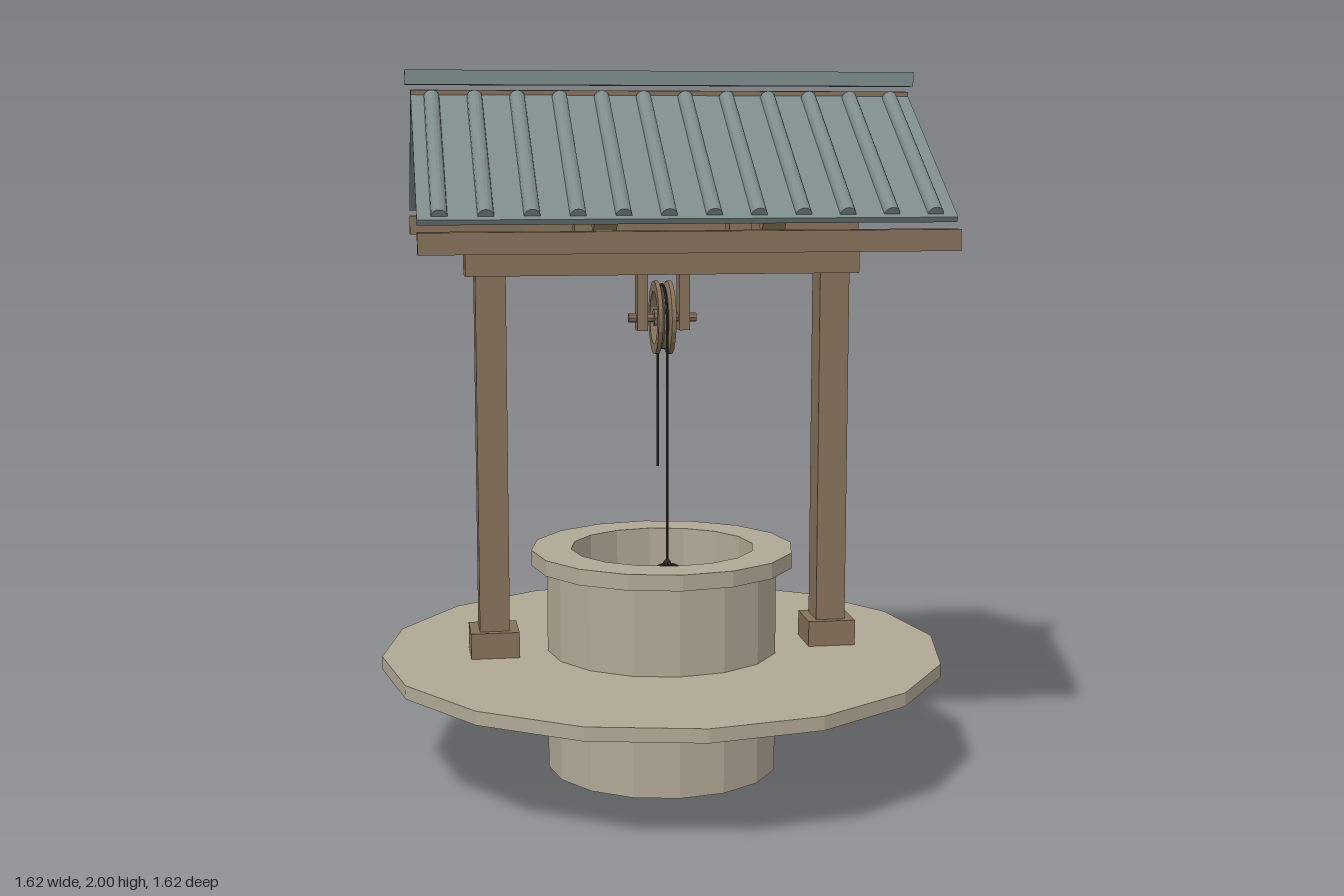
import * as THREE from 'three';

const mat = (name, color) => {
  const m = new THREE.MeshStandardMaterial({ color, flatShading: true });
  m.name = name;
  return m;
};

export function createModel() {
  const stone = mat('stone', 0xb0a794);
  const wood = mat('wood', 0x857159);
  const roofing = mat('roofing', 0x7d8b8b);
  const ropeMat = mat('rope', 0x2f2922);
  const bucketWood = mat('bucketWood', 0x7d634e);

  const well = new THREE.Group();
  well.name = 'well';

  const add = (parent, name, geo, material, x = 0, y = 0, z = 0) => {
    const m = new THREE.Mesh(geo, material);
    m.name = name;
    m.position.set(x, y, z);
    parent.add(m);
    return m;
  };
  // Box centred on x and z, spanning y0 to y1
  const box = (parent, name, material, w, y0, y1, d, x = 0, z = 0) =>
    add(parent, name, new THREE.BoxGeometry(w, y1 - y0, d), material, x, (y0 + y1) / 2, z);
  const lathe = (pts, sides) =>
    new THREE.LatheGeometry(pts.map(([r, y]) => new THREE.Vector2(r, y)), sides);

  // Hollow stone shaft with an overhanging rim, and the ground slab as a ring around it
  add(well, 'shaft', lathe([[0.265, 0], [0.335, 0], [0.335, 0.6], [0.38, 0.6], [0.38, 0.645],
    [0.265, 0.645], [0.265, 0]], 16), stone);
  add(well, 'slab', lathe([[0.33, 0.31], [0.81, 0.31], [0.81, 0.348], [0.33, 0.348]], 16), stone);

  // Frame: footings, posts, crossbeam, king posts and pulley brackets
  for (const s of [-1, 1]) {
    box(well, 'footing', wood, 0.138, 0.345, 0.422, 0.142, s * 0.49);
    box(well, 'post', wood, 0.085, 0.42, 1.44, 0.1, s * 0.49);
    box(well, 'kingPost', wood, 0.064, 1.5, 1.9, 0.064, s * 0.22);
    box(well, 'pulleyBracket', wood, 0.03, 1.275, 1.44, 0.055, s * 0.06);
  }
  box(well, 'crossbeam', wood, 1.12, 1.435, 1.512, 0.11);
  box(well, 'ridgeBeam', wood, 1.4, 1.88, 1.945, 0.064);
  box(well, 'ridgeCap', roofing, 1.43, 1.96, 2.0, 0.062);

  // Roof slopes: sheet with half-round ribs, rafters below and an eave beam
  const pitch = 0.566, ribs = 12, ribR = 0.021;
  const ribGeo = new THREE.CylinderGeometry(ribR, ribR, 0.575, 8, 1, false, Math.PI / 2, Math.PI);
  ribGeo.rotateX(Math.PI / 2);
  for (const s of [-1, 1]) {
    const slope = new THREE.Group();
    slope.name = s > 0 ? 'frontRoofSlope' : 'backRoofSlope';
    slope.position.set(0, 1.772, s * 0.269);
    slope.rotation.x = s * pitch;
    add(slope, 'roofSheet', new THREE.BoxGeometry(1.4, 0.016, 0.625), roofing);
    for (let i = 0; i < ribs; i++)
      add(slope, 'roofRib', ribGeo, roofing, (i - (ribs - 1) / 2) * 0.117, 0.008, s * 0.01);
    for (const x of [-0.22, 0.22])
      add(slope, 'rafter', new THREE.BoxGeometry(0.06, 0.052, 0.58), wood, x, -0.034, 0);
    well.add(slope);
    box(well, 'eaveBeam', wood, 1.4, 1.525, 1.581, 0.054, 0, s * 0.543);
  }

  // Pulley: grooved wheel, spokes and axle, turning about x
  const pulley = new THREE.Group();
  pulley.name = 'pulley';
  pulley.position.y = 1.31;
  const wheel = lathe([[0.075, -0.025], [0.105, -0.025], [0.105, -0.013], [0.09, -0.006],
    [0.09, 0.006], [0.105, 0.013], [0.105, 0.025], [0.075, 0.025], [0.075, -0.025]], 20);
  add(pulley, 'wheel', wheel.rotateZ(Math.PI / 2), wood);
  for (const turn of [0, Math.PI / 2])
    add(pulley, 'spoke', new THREE.BoxGeometry(0.018, 0.16, 0.018), wood).rotation.x = turn;
  add(pulley, 'hub', new THREE.CylinderGeometry(0.025, 0.025, 0.05, 10).rotateZ(Math.PI / 2), wood);
  add(pulley, 'axle', new THREE.CylinderGeometry(0.013, 0.013, 0.195, 8).rotateZ(Math.PI / 2), wood);
  well.add(pulley);

  // Rope over the wheel: long end to the bucket, short free end behind
  const ropeZ = 0.094;
  const rope = (y0, z) => add(well, 'rope',
    new THREE.CylinderGeometry(0.004, 0.004, 1.31 - y0, 6), ropeMat, 0, (1.31 + y0) / 2, z);
  rope(0.61, ropeZ);
  rope(0.865, -ropeZ);
  add(well, 'ropeOverWheel',
    new THREE.TorusGeometry(ropeZ, 0.004, 6, 20, Math.PI).rotateY(Math.PI / 2), ropeMat, 0, 1.31, 0);

  // Bucket hanging inside the shaft
  const bucket = new THREE.Group();
  bucket.name = 'bucket';
  bucket.position.set(0, 0.42, ropeZ);
  add(bucket, 'pail', lathe([[0, 0], [0.054, 0], [0.07, 0.135], [0.06, 0.135], [0.046, 0.012], [0, 0.012]], 12),
    bucketWood);
  add(bucket, 'handle', new THREE.TorusGeometry(0.062, 0.005, 6, 14, Math.PI), ropeMat, 0, 0.13, 0);
  add(bucket, 'knot', new THREE.SphereGeometry(0.012, 8, 6), ropeMat, 0, 0.195, 0);
  well.add(bucket);

  return well;
}
